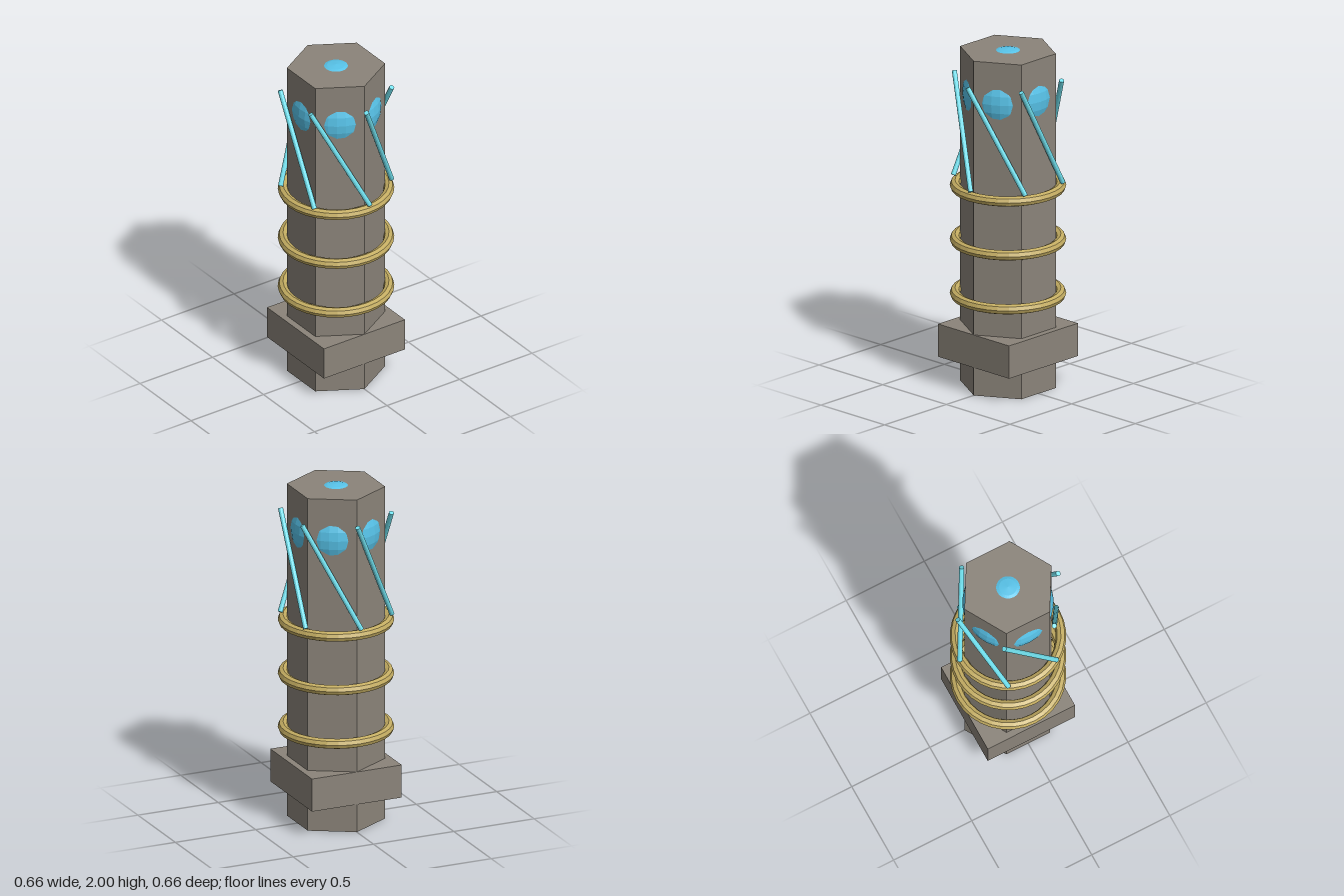
import * as THREE from 'three';

const paint = (color) => new THREE.MeshStandardMaterial({ color, flatShading: true });

export function createModel() {
  const model = new THREE.Group();
  const stone = paint(0x8b847a);
  const gold = paint(0xc4ad62);
  const blue = paint(0x58c4ea);
  const cyan = paint(0x70e0ee);

  const add = (parent, name, geometry, material, x = 0, y = 0, z = 0) => {
    const mesh = new THREE.Mesh(geometry, material);
    mesh.name = name;
    mesh.position.set(x, y, z);
    parent.add(mesh);
    return mesh;
  };

  // Hexagonal shaft with corners at front and back
  add(model, 'shaft', new THREE.CylinderGeometry(0.278, 0.278, 1.99, 6), stone, 0, 0.995, 0);

  // Square collar near the foot
  add(model, 'collar', new THREE.BoxGeometry(0.558, 0.195, 0.558), stone, 0, 0.263, 0);

  // Three rings around the shaft
  const ringGeometry = new THREE.TorusGeometry(0.299, 0.03, 8, 32).rotateX(Math.PI / 2);
  for (let i = 0; i < 3; i++) {
    add(model, `ring${i + 1}`, ringGeometry, gold, 0, 0.546 + i * 0.321, 0);
  }

  // Core orb bulging through the faces and the top of the shaft
  add(model, 'coreOrb', new THREE.SphereGeometry(0.258, 32, 16), blue, 0, 1.742, 0);

  // One slanted rod in front of each shaft face
  const rodGeometry = new THREE.CylinderGeometry(0.0145, 0.0145, 0.7, 12);
  for (let i = 0; i < 6; i++) {
    const pivot = new THREE.Group();
    pivot.name = `rodMount${i + 1}`;
    pivot.rotation.y = (i * Math.PI) / 3;
    const rod = add(pivot, 'rod', rodGeometry, cyan, 0.267, 1.531, 0);
    rod.rotation.x = 0.5;
    model.add(pivot);
  }

  return model;
}
